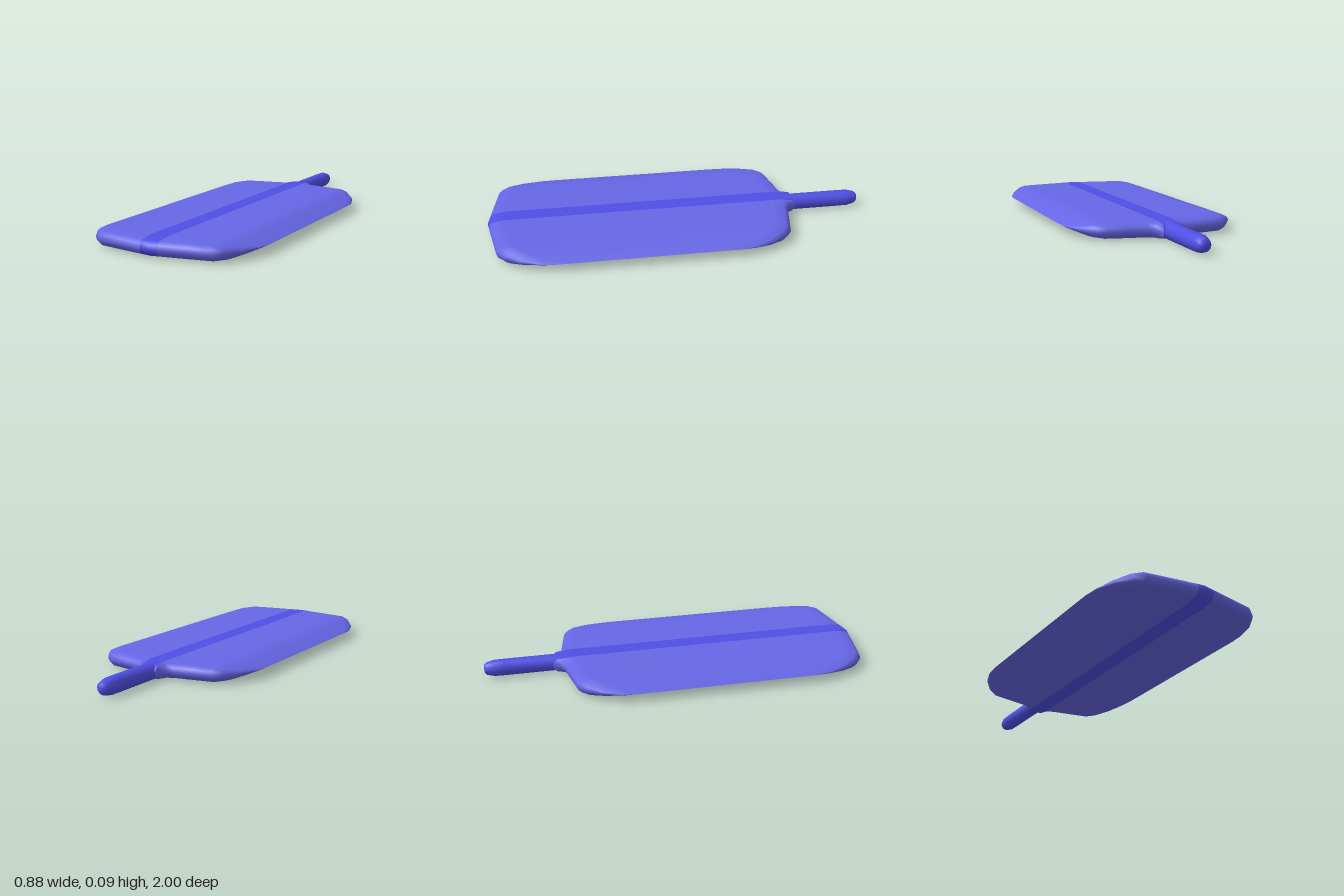
import * as THREE from 'three';

const MID = 0.043; // half thickness, also the height of the middle plane

// Skin a row of closed loops that all have the same number of points
function loft(loops) {
  const n = loops[0].length, index = [];
  for (let i = 0; i < loops.length - 1; i++) {
    for (let j = 0; j < n; j++) {
      const a = i * n + j, b = i * n + (j + 1) % n;
      index.push(a, a + n, b, b, a + n, b + n);
    }
  }
  const geo = new THREE.BufferGeometry();
  geo.setAttribute('position', new THREE.Float32BufferAttribute(loops.flat(2), 3));
  geo.setIndex(index);
  geo.computeVertexNormals();
  return geo;
}

// Rounded nose of a slice: [inset from the end, share of the thickness]
const nose = [[0, 0], [0.007, 0.45], [0.025, 0.8], [0.09, 1]];

// Fore-and-aft slice through the blade at x
function slice(x, front, back, half) {
  const top = [
    ...nose.map(([d, t]) => [front - d, t]),
    ...nose.slice().reverse().map(([d, t]) => [back + d, t]),
  ];
  const bottom = top.slice(1, -1).reverse().map(([z, t]) => [z, -t]);
  return [...top, ...bottom].map(([z, t]) => [x, MID + t * half, z]);
}

export function createModel() {
  const group = new THREE.Group();
  const bladeMat = new THREE.MeshStandardMaterial({ color: 0x6666e6 });
  const spineMat = new THREE.MeshStandardMaterial({ color: 0x4f4fe6 });
  const add = (name, geo, mat) => {
    const mesh = new THREE.Mesh(geo, mat);
    mesh.name = name;
    group.add(mesh);
  };

  // Blade half outline: x, front z, back z, half thickness
  const outline = [
    [0.045, 0.993, -0.65, MID],
    [0.06, 0.99, -0.61, MID],
    [0.10, 0.984, -0.592, MID],
    [0.20, 0.967, -0.574, MID],
    [0.30, 0.95, -0.555, 0.0425],
    [0.345, 0.915, -0.52, 0.036],
    [0.395, 0.84, -0.45, 0.019],
    [0.43, 0.74, -0.355, 0.005],
    [0.44, 0.66, -0.27, 0],
  ];
  add('leftBlade', loft(outline.map((p) => slice(...p))), bladeMat);
  add('rightBlade', loft(outline.slice().reverse().map(([x, ...r]) => slice(-x, ...r))), bladeMat);

  // Darker band down the middle of the blade
  const spine = [[-0.045, 0.993], [0, 1], [0.045, 0.993]];
  add('spine', loft(spine.map(([x, front]) => slice(x, front, -0.65, MID))), spineMat);

  // Round handle with a blunt tip, its root buried in the blade: z, radius
  const handle = [[-1, 0], [-1, 0.019], [-0.988, 0.032], [-0.95, 0.042], [-0.9, MID], [-0.5, MID]];
  const sides = 12;
  add('handle', loft(handle.map(([z, r]) => Array.from({ length: sides }, (_, k) => {
    const a = (k / sides) * Math.PI * 2;
    return [-r * Math.cos(a), MID + r * Math.sin(a), z];
  }))), spineMat);

  return group;
}
